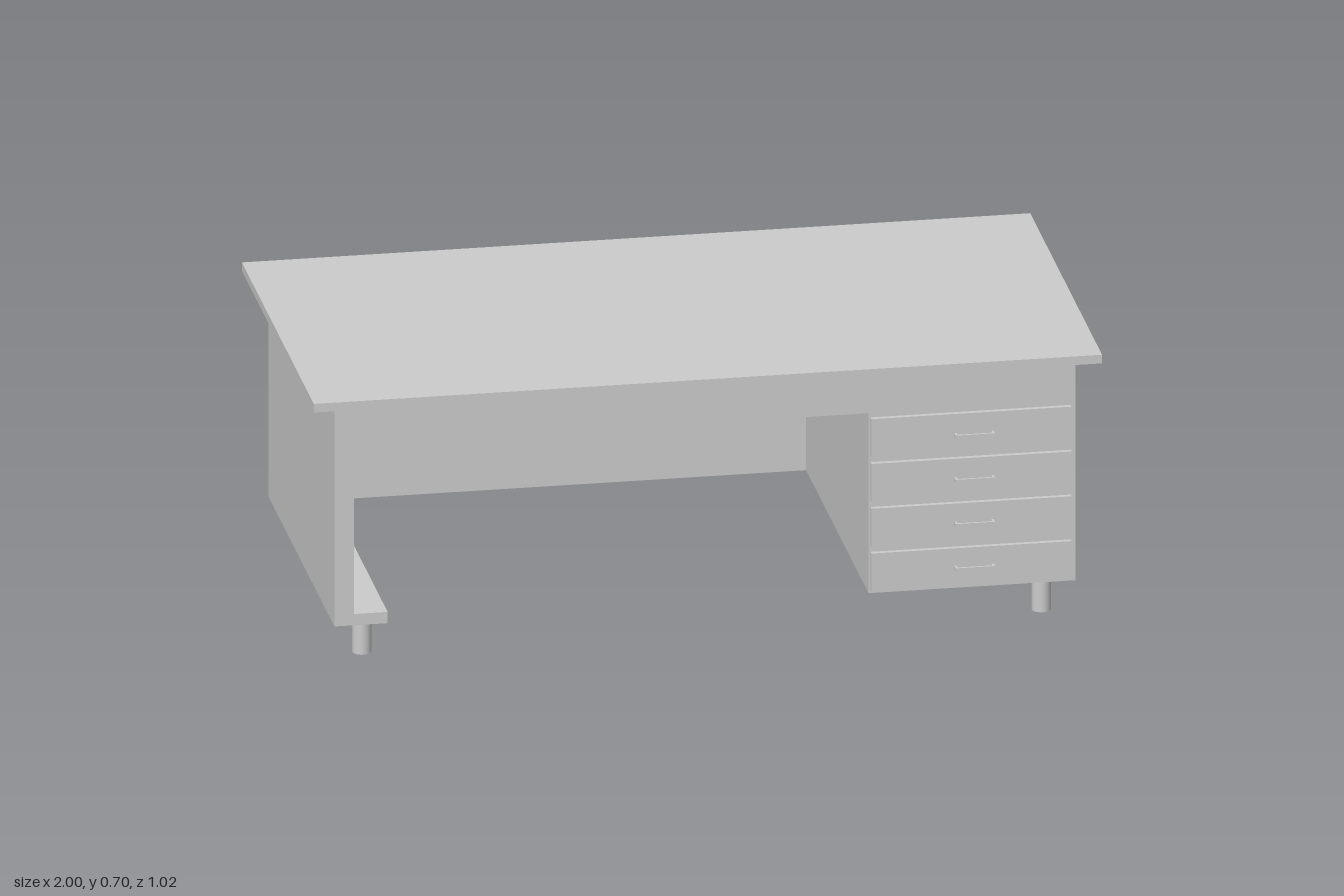
import * as THREE from 'three';

const material = new THREE.MeshStandardMaterial({ color: 0xcccccc });

// Box given by its low and high corners
function box(name, [x0, y0, z0], [x1, y1, z1]) {
  const mesh = new THREE.Mesh(new THREE.BoxGeometry(x1 - x0, y1 - y0, z1 - z0), material);
  mesh.position.set((x0 + x1) / 2, (y0 + y1) / 2, (z0 + z1) / 2);
  mesh.name = name;
  return mesh;
}

// U-shaped pull, seen from above and extruded upwards
function makeHandle(y) {
  const w = 0.05, d = 0.02, t = 0.006;
  const shape = new THREE.Shape([
    [-w, 0], [-w, -d], [w, -d], [w, 0], [w - t, 0], [w - t, t - d], [t - w, t - d], [t - w, 0],
  ].map(([x, z]) => new THREE.Vector2(x, z)));
  const geometry = new THREE.ExtrudeGeometry(shape, { depth: 0.01, bevelEnabled: false });
  geometry.rotateX(-Math.PI / 2);
  const handle = new THREE.Mesh(geometry, material);
  handle.position.set(0.68, y - 0.005, 0.483);
  handle.name = 'drawerHandle';
  return handle;
}

export function createModel() {
  const desk = new THREE.Group();
  desk.name = 'desk';

  desk.add(box('deskTop', [-1, 0.68, -0.512], [1, 0.703, 0.512]));

  // Carcass: drawer pedestal, top rail, side wall and floor ledge as one section
  const section = new THREE.Shape([
    [-0.94, 0.09], [-0.805, 0.09], [-0.805, 0.12], [-0.89, 0.12], [-0.89, 0.57],
    [0.415, 0.57], [0.415, 0.09], [0.94, 0.09], [0.94, 0.68], [-0.94, 0.68],
  ].map(([x, y]) => new THREE.Vector2(x, y)));
  const carcass = new THREE.Mesh(
    new THREE.ExtrudeGeometry(section, { depth: 0.89, bevelEnabled: false }), material);
  carcass.position.z = -0.42;
  carcass.name = 'carcass';
  desk.add(carcass);

  desk.add(box('backPanel', [-0.94, 0.09, -0.47], [0.94, 0.68, -0.42]));

  // Drawers with handles
  for (let i = 0; i < 4; i++) {
    const y = 0.149 + i * 0.1195;
    const drawer = new THREE.Group();
    drawer.name = 'drawer';
    drawer.add(box('drawerFront', [0.42, y - 0.051, 0.47], [0.928, y + 0.051, 0.483]));
    drawer.add(makeHandle(y - i * 0.0015));
    desk.add(drawer);
  }

  // Legs
  const legGeometry = new THREE.CylinderGeometry(0.024, 0.024, 0.09, 32);
  for (const x of [-0.862, 0.862]) {
    for (const z of [-0.42, 0.42]) {
      const leg = new THREE.Mesh(legGeometry, material);
      leg.position.set(x, 0.045, z);
      leg.name = 'leg';
      desk.add(leg);
    }
  }
  return desk;
}
